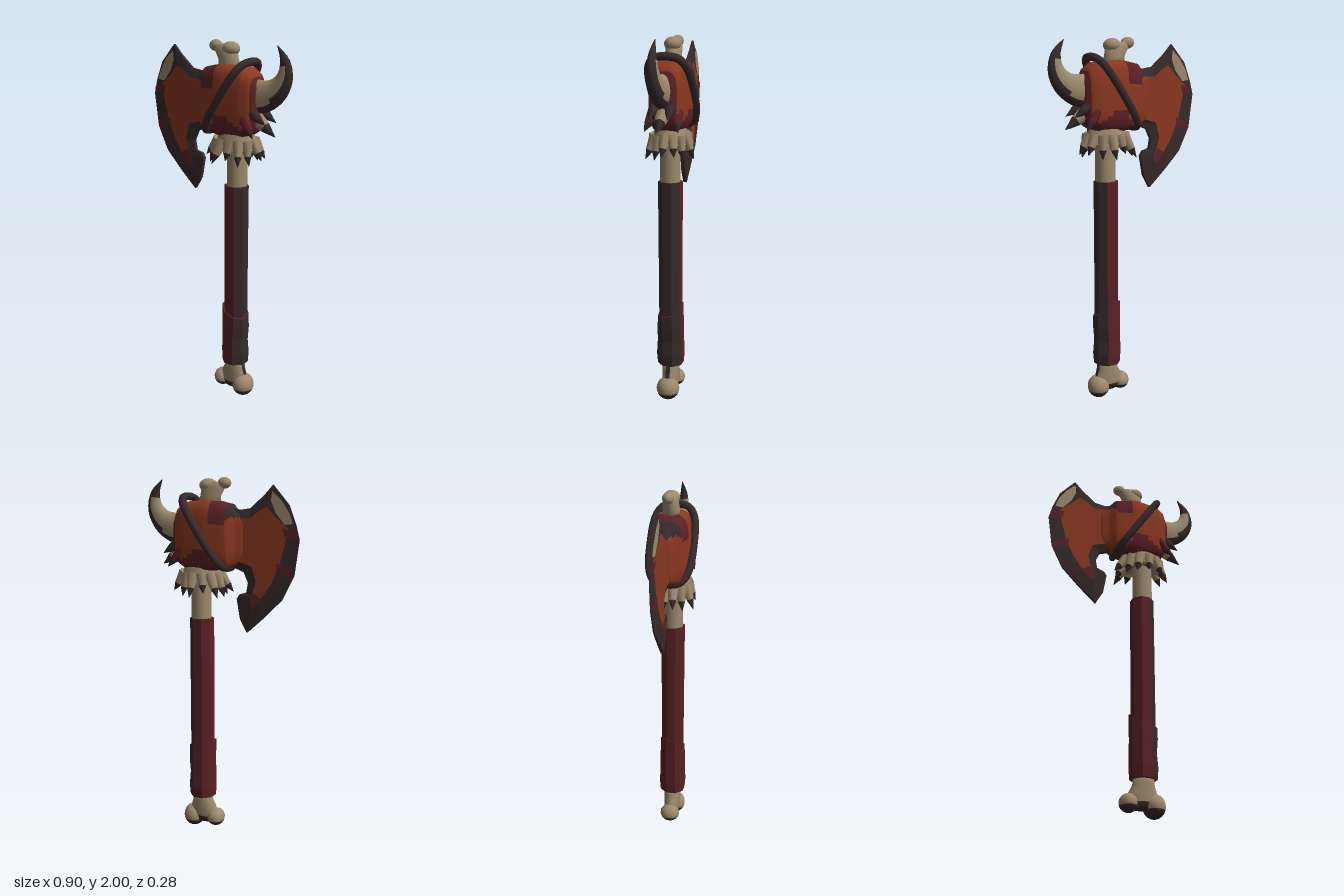
import * as THREE from 'three';

const V = (x, y, z = 0) => new THREE.Vector3(x, y, z);
const TAU = Math.PI * 2;
const lerp = THREE.MathUtils.lerp;

function material(name, color) {
  const m = new THREE.MeshStandardMaterial({ color });
  m.name = name;
  return m;
}
const bone = material('bone', 0x9c896d);
const orange = material('rust orange', 0x8a3820);
const maroon = material('maroon', 0x5a2125);
const dark = material('charcoal brown', 0x372a2a);
const mats = [bone, orange, maroon, dark];

function add(parent, name, geo, mat) {
  const m = new THREE.Mesh(geo, mat);
  m.name = name;
  parent.add(m);
  return m;
}

// Skin a list of rings, capping both ends; pick(centre, ring, side) gives each face its colour
function loft(rings, pick, flat = false) {
  const n = rings[0].length, pos = [], faces = mats.map(() => []);
  rings.forEach(r => r.forEach(p => pos.push(p.x, p.y, p.z)));
  const put = (i, j, c, ...tri) => faces[mats.indexOf(pick(c, i, j))].push(...tri);
  for (let i = 0; i < rings.length - 1; i++) for (let j = 0; j < n; j++) {
    const k = (j + 1) % n, a = i * n + j, b = i * n + k;
    const c = rings[i][j].clone().add(rings[i + 1][k]).multiplyScalar(0.5);
    put(i, j, c, a, b, b + n, a, b + n, a + n);
  }
  [0, rings.length - 1].forEach(i => {
    const mid = rings[i].reduce((s, p) => s.add(p), V(0, 0)).divideScalar(n);
    const at = pos.length / 3;
    pos.push(mid.x, mid.y, mid.z);
    for (let j = 0; j < n; j++) {
      const a = i * n + j, b = i * n + (j + 1) % n;
      put(i, j, mid, at, ...(i ? [a, b] : [b, a]));
    }
  });
  let g = new THREE.BufferGeometry();
  g.setAttribute('position', new THREE.Float32BufferAttribute(pos, 3));
  g.setIndex(faces.flat());
  let start = 0;
  faces.forEach((f, i) => { if (f.length) g.addGroup(start, f.length, i); start += f.length; });
  if (flat) g = g.toNonIndexed();
  g.computeVertexNormals();
  return g;
}

// Ring around c with half sizes a, b along A, B; power below 1 makes it boxier
function ring(c, A, B, a, b, n, power = 1, turn = 0) {
  const s = v => Math.sign(v) * Math.abs(v) ** power;
  return Array.from({ length: n }, (_, j) => {
    const t = (j + turn) / n * TAU;
    return c.clone().addScaledVector(A, a * s(Math.cos(t))).addScaledVector(B, b * s(Math.sin(t)));
  });
}
const X = V(1, 0), Y = V(0, 1), Z = V(0, 0, 1);

// Upright stack: rows of [y, centre x, half width x, half depth z]
const stack = (rows, n, turn = 0) => rows.map(([y, x, rx, rz]) => ring(V(x, y), Z, X, rz, rx, n, 1, turn));

function triangles(tris) {
  const g = new THREE.BufferGeometry().setFromPoints(tris);
  g.computeVertexNormals();
  return g;
}

// Bone knob, optionally with a dark underside
function knob(parent, name, p, s, soiled) {
  const split = soiled ? 0.6 * Math.PI : Math.PI;
  [[0, split, bone], [split, Math.PI - split, dark]].forEach(([from, len, mat]) => {
    if (len <= 0) return;
    const m = add(parent, name, new THREE.SphereGeometry(1, 20, 12, 0, TAU, from, len), mat);
    m.position.copy(p);
    m.scale.copy(s);
  });
}

// Pointed tuft with a dark tip
function tuft(parent, name, from, to, r, base) {
  const g = new THREE.Group(), L = from.distanceTo(to);
  g.name = name;
  add(g, name + 'Base', new THREE.CylinderGeometry(r * 0.6, r, L * 0.6, 7), base).position.y = L * 0.3;
  add(g, name + 'Tip', new THREE.ConeGeometry(r * 0.6, L * 0.4, 7), dark).position.y = L * 0.8;
  g.position.copy(from);
  g.quaternion.setFromUnitVectors(Y, to.clone().sub(from).normalize());
  parent.add(g);
}

function buildBlade(parent) {
  // Matched rows: outer x, y, then inner x, y
  const rows = [
    [-.30, 1.96, -.27, 1.85], [-.39, 1.86, -.33, 1.79], [-.43, 1.76, -.39, 1.74], [-.45, 1.685, -.375, 1.67],
    [-.425, 1.5, -.345, 1.55], [-.36, 1.37, -.30, 1.45], [-.26, 1.27, -.23, 1.35], [-.16, 1.18, -.19, 1.32],
    [-.12, 1.25, -.18, 1.34], [-.10, 1.36, -.185, 1.36], [-.115, 1.385, -.19, 1.38], [-.155, 1.395, -.2, 1.41],
    [-.165, 1.45, -.215, 1.46], [-.14, 1.505, -.19, 1.54], [-.05, 1.54, -.05, 1.58], [-.05, 1.85, -.05, 1.80],
    [-.11, 1.83, -.12, 1.79], [-.175, 1.84, -.18, 1.79], [-.255, 1.91, -.235, 1.83]];
  const thick = x => 0.004 + 0.07 * (x + 0.45);
  const n = rows.length, rim = [];
  const face = (pts, lift) => {
    const out = [];
    const flat = pts.map(p => new THREE.Vector2(p[0], p[1]));
    for (const t of THREE.ShapeUtils.triangulateShape(flat, [])) for (const side of [1, -1]) {
      const tri = t.map(i => V(flat[i].x, flat[i].y, side * (thick(flat[i].x) + lift)));
      const up = (tri[1].x - tri[0].x) * (tri[2].y - tri[0].y) - (tri[1].y - tri[0].y) * (tri[2].x - tri[0].x);
      out.push(...(up * side > 0 ? tri : tri.reverse()));
    }
    return triangles(out);
  };
  const quad = (a, b, c, d) => rim.push(a, b, c, a, c, d);
  rows.forEach((p, i) => {
    const q = rows[(i + 1) % n];
    const o = (r, s) => V(r[0], r[1], s * thick(r[0]) * 0.4), m = (r, s) => V(r[2], r[3], s * thick(r[2]));
    quad(o(p, 1), o(q, 1), m(q, 1), m(p, 1));
    quad(o(q, -1), o(p, -1), m(p, -1), m(q, -1));
    quad(o(p, -1), o(q, -1), o(q, 1), o(p, 1));
  });
  add(parent, 'bladeRim', triangles(rim), dark);
  add(parent, 'bladeFace', face(rows.map(r => [r[2], r[3]]), 0), orange);
  // Worn patches on the edge
  add(parent, 'bladeChip', face([[-.30, 1.93], [-.35, 1.885], [-.395, 1.82], [-.415, 1.765], [-.37, 1.76], [-.32, 1.82], [-.295, 1.88]], 0.002), bone);
  [[[-.44, 1.72], [-.44, 1.69], [-.37, 1.70], [-.36, 1.74]],
    [[-.415, 1.53], [-.41, 1.49], [-.33, 1.52], [-.33, 1.56]],
    [[-.25, 1.37], [-.2, 1.31], [-.18, 1.34], [-.2, 1.40]]].forEach(p => add(parent, 'bladeStain', face(p, 0.002), maroon));
}

function buildHead(parent) {
  // Wrapped body, lofted along x: x, bottom, top, half depth
  const keys = [[-.14, 1.57, 1.80, .027], [-.10, 1.54, 1.82, .045], [-.06, 1.52, 1.86, .085], [.06, 1.50, 1.885, .105],
    [.19, 1.51, 1.87, .095], [.235, 1.535, 1.84, .08], [.265, 1.60, 1.78, .05]];
  const rings = [];
  keys.slice(0, -1).forEach((k, i) => {
    const last = i === keys.length - 2;
    for (let s = 0; s < (last ? 5 : 4); s++) {
      const [x, lo, hi, z] = k.map((v, c) => lerp(v, keys[i + 1][c], s / 4));
      rings.push(ring(V(x, (lo + hi) / 2), Y, Z, (hi - lo) / 2, z, 40, 0.55));
    }
  });
  add(parent, 'headWrap', loft(rings, p => {
    if (p.y < 1.515 || (p.y > 1.79 && p.x < -0.045)) return dark;
    if (p.x > 0.24) return maroon;
    if (p.x < 0.03 && p.x > -0.1 && p.y > 1.72 + Math.abs(p.x + 0.02) * 1.2) return maroon;
    if (p.y < 1.56 + 0.05 * Math.sin(p.x * 22) + Math.max(0, p.x) * 0.25) return maroon;
    return orange;
  }), mats);

  // Diagonal strap
  const pts = ring(V(.078, 1.71), V(.56, .83).normalize(), Z, .225, .117, 24, 0.65);
  add(parent, 'strap', new THREE.TubeGeometry(new THREE.CatmullRomCurve3(pts, true), 72, .021, 8, true), dark);

  // Horn
  const path = new THREE.CatmullRomCurve3([V(.2, 1.725), V(.29, 1.73), V(.36, 1.765), V(.405, 1.83), V(.405, 1.91), V(.36, 1.985)]);
  const wide = [.09, .083, .065, .046, .027, .002], deep = [.05, .046, .038, .03, .02, .002];
  const steps = 20, sides = 20;
  const horn = Array.from({ length: steps + 1 }, (_, i) => {
    const f = i / steps * 5, k = Math.min(4, Math.floor(f)), T = path.getTangent(i / steps);
    const A = V(T.y, -T.x), B = T.clone().cross(A);
    return ring(path.getPoint(i / steps), A, B, lerp(wide[k], wide[k + 1], f - k), lerp(deep[k], deep[k + 1], f - k), sides);
  });
  add(parent, 'horn', loft(horn, (p, i, j) =>
    i > 14 || Math.cos((j + 0.5) / sides * TAU) > 0.6 - i * 0.025 ? dark : bone), mats);

  // Side fur beneath the horn
  tuft(parent, 'sideFur', V(.2, 1.64), V(.36, 1.525), .05, bone);
  [-1, 1].forEach(s => {
    tuft(parent, 'sideFur', V(.2, 1.67, s * .04), V(.33, 1.59, s * .05), .04, dark);
    tuft(parent, 'sideFur', V(.2, 1.62, s * .06), V(.28, 1.52, s * .09), .035, maroon);
  });

  // Ragged fur collar
  const collar = add(parent, 'collar', new THREE.CylinderGeometry(.1, .125, .08, 20, 1), bone);
  collar.position.set(.115, 1.485, 0);
  collar.scale.z = .8;
  for (let i = 0; i < 13; i++) {
    const a = i / 13 * TAU, c = Math.cos(a), s = Math.sin(a), out = i % 2 ? .145 : .172;
    tuft(parent, 'collarFur', V(.115 + c * .1, 1.49, s * .08), V(.105 + c * out, i % 3 ? 1.365 : 1.39, s * out * .78), .034, bone);
  }
}

function buildHandle(parent) {
  // Dark strip runs down the three +x facets
  const halfDark = p => (p.x > 0.145 ? dark : maroon);
  add(parent, 'grip', loft(stack([[.2, .117, .067, .062], [1.24, .117, .067, .067]], 8, 0.5), halfDark, true), mats);
  const wrap = stack([[.2, .115, .074, .073], [.26, .116, .078, .078], [.34, .113, .074, .074], [.42, .117, .077, .074],
    [.52, .115, .078, .069]], 8, 0.5);
  // Slant the top edge of the lower wrap
  wrap[4].forEach(p => { p.y -= (p.x - .115) * .4 + p.z * .3; });
  add(parent, 'lowerWrap', loft(wrap, halfDark, true), mats);
  add(parent, 'upperShaft', new THREE.CylinderGeometry(.054, .056, .34, 16), bone).position.set(.12, 1.37, 0);

  // Bone foot
  add(parent, 'footBone', loft(stack([[.045, .11, .06, .035], [.08, .108, .095, .045], [.13, .11, .078, .046], [.17, .115, .06, .048],
    [.22, .117, .056, .05]], 24), (p, i, j) => (i === 0 || j === 5 || j === 6 ? dark : bone)), mats);
  knob(parent, 'footKnob', V(.032, .075), V(.05, .05, .056), true);
  knob(parent, 'footKnob', V(.172, .066), V(.06, .065, .064), true);

  // Bone end above the head
  add(parent, 'topBone', loft(stack([[1.84, .07, .062, .048], [1.9, .062, .058, .044], [1.945, .045, .068, .04],
    [1.975, .035, .05, .028]], 20), () => bone), mats);
  knob(parent, 'topKnob', V(-.02, 1.968), V(.038, .03, .03), false);
  knob(parent, 'topKnob', V(.075, 1.955), V(.05, .037, .044), false);
}

export function createModel() {
  const model = new THREE.Group();
  model.name = 'battleAxe';
  [['blade', buildBlade], ['head', buildHead], ['handle', buildHandle]].forEach(([name, build]) => {
    const g = new THREE.Group();
    g.name = name;
    build(g);
    model.add(g);
  });
  return model;
}
